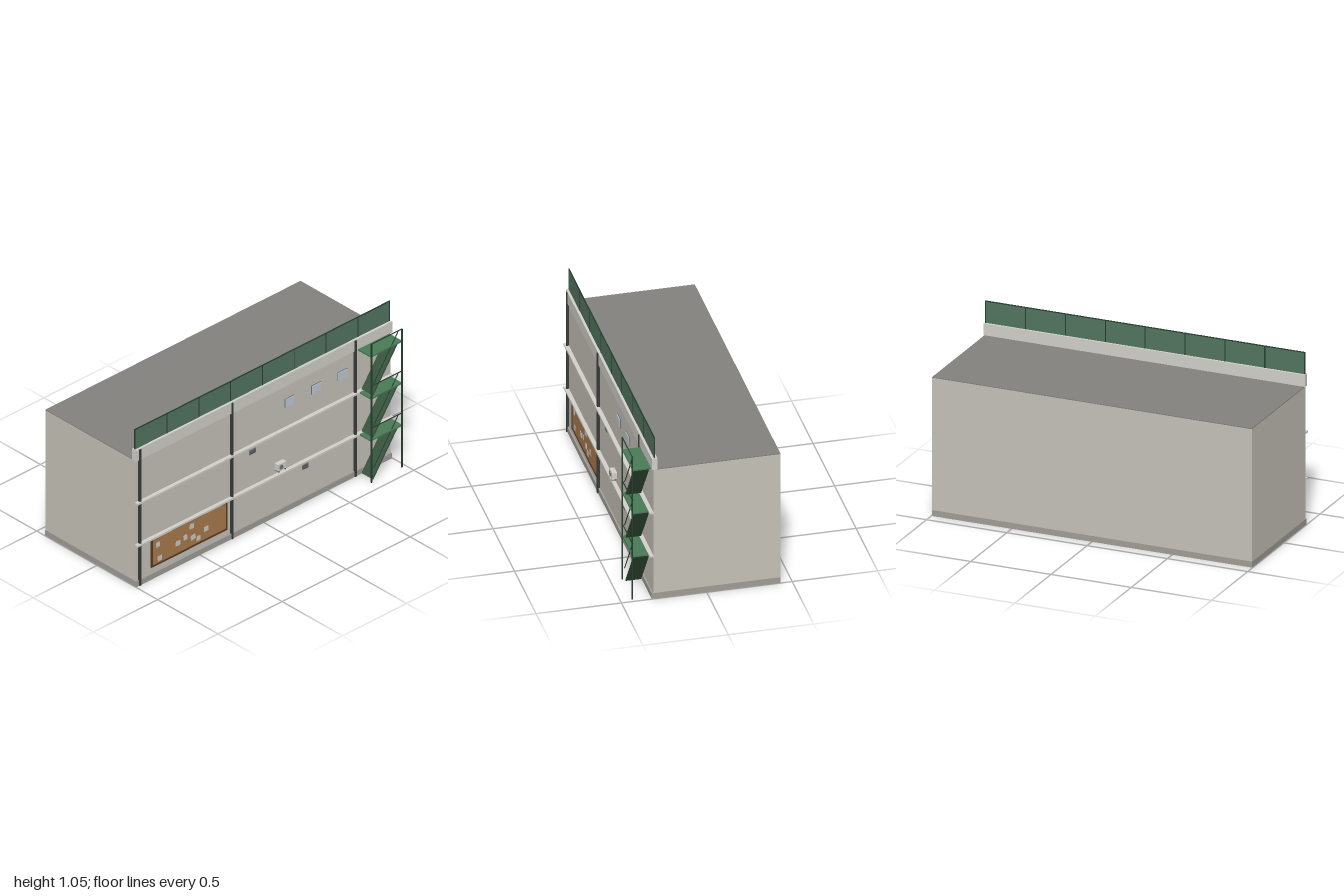
import * as THREE from 'three';

const paint = (color) => new THREE.MeshStandardMaterial({ color });
const M = {
  wall: paint(0xc6c2b9), roof: paint(0x83827d), plinth: paint(0xa19d96), trim: paint(0xd2d0ca),
  dark: paint(0x3a3c3c), fence: paint(0x527560), darkGreen: paint(0x23402f), green: paint(0x4a7a57),
  stair: paint(0x36543d), frame: paint(0x553a26), board: paint(0xa87a4c), paper: paint(0xcbc8c0),
  glass: paint(0xbccad6), vent: paint(0x74787c),
};

export function createModel() {
  const model = new THREE.Group();

  // Box given by its min and max along each axis
  function box(name, mat, x0, x1, y0, y1, z0, z1, parent = model) {
    const mesh = new THREE.Mesh(new THREE.BoxGeometry(x1 - x0, y1 - y0, z1 - z0), mat);
    mesh.position.set((x0 + x1) / 2, (y0 + y1) / 2, (z0 + z1) / 2);
    mesh.name = name;
    parent.add(mesh);
    return mesh;
  }
  // Sloped bar in the xy plane
  function slope(name, mat, xa, ya, xb, yb, thick, z0, z1, parent) {
    const len = Math.hypot(xb - xa, yb - ya);
    const mx = (xa + xb) / 2, my = (ya + yb) / 2;
    const mesh = box(name, mat, mx - len / 2, mx + len / 2, my - thick / 2, my + thick / 2, z0, z1, parent);
    mesh.rotation.z = Math.atan2(yb - ya, xb - xa);
  }

  // Building shell
  box('walls', M.wall, -0.995, 0.995, 0.006, 0.845, -0.432, 0.312);
  box('roof', M.roof, -0.995, 0.995, 0.845, 0.85, -0.432, 0.312);
  box('plinth', M.plinth, -0.997, 0.997, 0.004, 0.04, -0.433, 0.322);
  box('parapet', M.trim, -1, 1, 0.848, 0.922, 0.29, 0.322);
  for (const y of [0.282, 0.564]) box('ledge', M.trim, -1, 1, y - 0.006, y + 0.006, 0.31, 0.336);
  for (const x of [-0.97, -0.25, 0.712]) box('pilaster', M.dark, x - 0.006, x + 0.006, 0.006, 0.92, 0.31, 0.328);

  // Rooftop fence
  const fence = new THREE.Group();
  fence.name = 'fence';
  model.add(fence);
  box('fencePanel', M.fence, -0.993, 0.993, 0.922, 1.055, 0.303, 0.307, fence);
  for (let i = 0; i <= 8; i++) {
    const x = -0.993 + i * 0.24825;
    box('fencePost', M.darkGreen, x - 0.003, x + 0.003, 0.92, 1.056, 0.302, 0.308, fence);
  }
  box('fenceTopRail', M.darkGreen, -0.995, 0.995, 1.051, 1.056, 0.302, 0.308, fence);

  // Notice board with pinned papers
  const notice = new THREE.Group();
  notice.name = 'noticeBoard';
  model.add(notice);
  box('board', M.board, -0.87, -0.29, 0.085, 0.265, 0.31, 0.316, notice);
  for (const [a, b] of [[0.08, 0.09], [0.261, 0.271]]) box('frameRail', M.frame, -0.877, -0.283, a, b, 0.31, 0.32, notice);
  for (const [a, b] of [[-0.877, -0.867], [-0.293, -0.283]]) box('frameStile', M.frame, a, b, 0.09, 0.261, 0.31, 0.32, notice);
  const papers = [[-0.825, 0.214, 0.05], [-0.81, 0.116, 0.1], [-0.668, 0.154, -0.15], [-0.61, 0.168, 0.12],
    [-0.56, 0.222, -0.04], [-0.55, 0.144, 0.2], [-0.508, 0.119, -0.12], [-0.448, 0.157, 0.06]];
  papers.forEach(([x, y, tilt], i) => {
    const w = 0.014 + (i % 3) * 0.002;
    box('paper', M.paper, x - w, x + w, y - 0.016, y + 0.016, 0.315, 0.318, notice).rotation.z = tilt;
  });

  // Windows and vents
  for (const x of [0.206, 0.411, 0.617]) {
    box('windowFrame', M.vent, x - 0.037, x + 0.037, 0.7, 0.757, 0.31, 0.316);
    box('windowPane', M.glass, x - 0.034, x + 0.034, 0.703, 0.754, 0.31, 0.32);
  }
  for (const [x, y] of [[-0.085, 0.517], [0.328, 0.238]]) {
    box('vent', M.vent, x - 0.024, x + 0.024, y - 0.016, y + 0.016, 0.31, 0.317);
    for (let k = -1; k <= 1; k++)
      box('ventSlat', M.dark, x - 0.02, x + 0.02, y + k * 0.009 - 0.001, y + k * 0.009 + 0.001, 0.31, 0.319);
  }

  // Air conditioner
  const cooler = new THREE.Group();
  cooler.name = 'airConditioner';
  model.add(cooler);
  box('casing', M.trim, 0.09, 0.155, 0.317, 0.36, 0.312, 0.342, cooler);
  const fan = new THREE.Mesh(new THREE.CylinderGeometry(0.015, 0.015, 0.004, 20), M.vent);
  fan.rotation.x = Math.PI / 2;
  fan.position.set(0.114, 0.338, 0.343);
  fan.name = 'fan';
  cooler.add(fan);
  for (const x of [0.098, 0.147]) box('bracket', M.dark, x - 0.003, x + 0.003, 0.309, 0.317, 0.312, 0.342, cooler);

  // Outside staircase: three equal storeys
  const stairs = new THREE.Group();
  stairs.name = 'fireEscape';
  model.add(stairs);
  for (const x of [0.737, 0.973]) box('stairPost', M.darkGreen, x - 0.004, x + 0.004, 0.004, 0.932, 0.425, 0.433, stairs);
  for (let i = 0; i < 3; i++) {
    const y0 = 0.004 + i * 0.282, y1 = y0 + 0.281;
    box('landing', M.green, 0.733, 0.977, y1 - 0.007, y1 + 0.002, 0.312, 0.427, stairs);
    slope('flight', M.stair, 0.76, y0 + 0.004, 0.957, y1 - 0.004, 0.01, 0.325, 0.415, stairs);
    slope('handrail', M.darkGreen, 0.76, y0 + 0.084, 0.957, y1 + 0.08, 0.004, 0.419, 0.423, stairs);
    box('landingRail', M.darkGreen, 0.735, 0.975, y1 + 0.081, y1 + 0.086, 0.427, 0.431, stairs);
  }

  return model;
}
